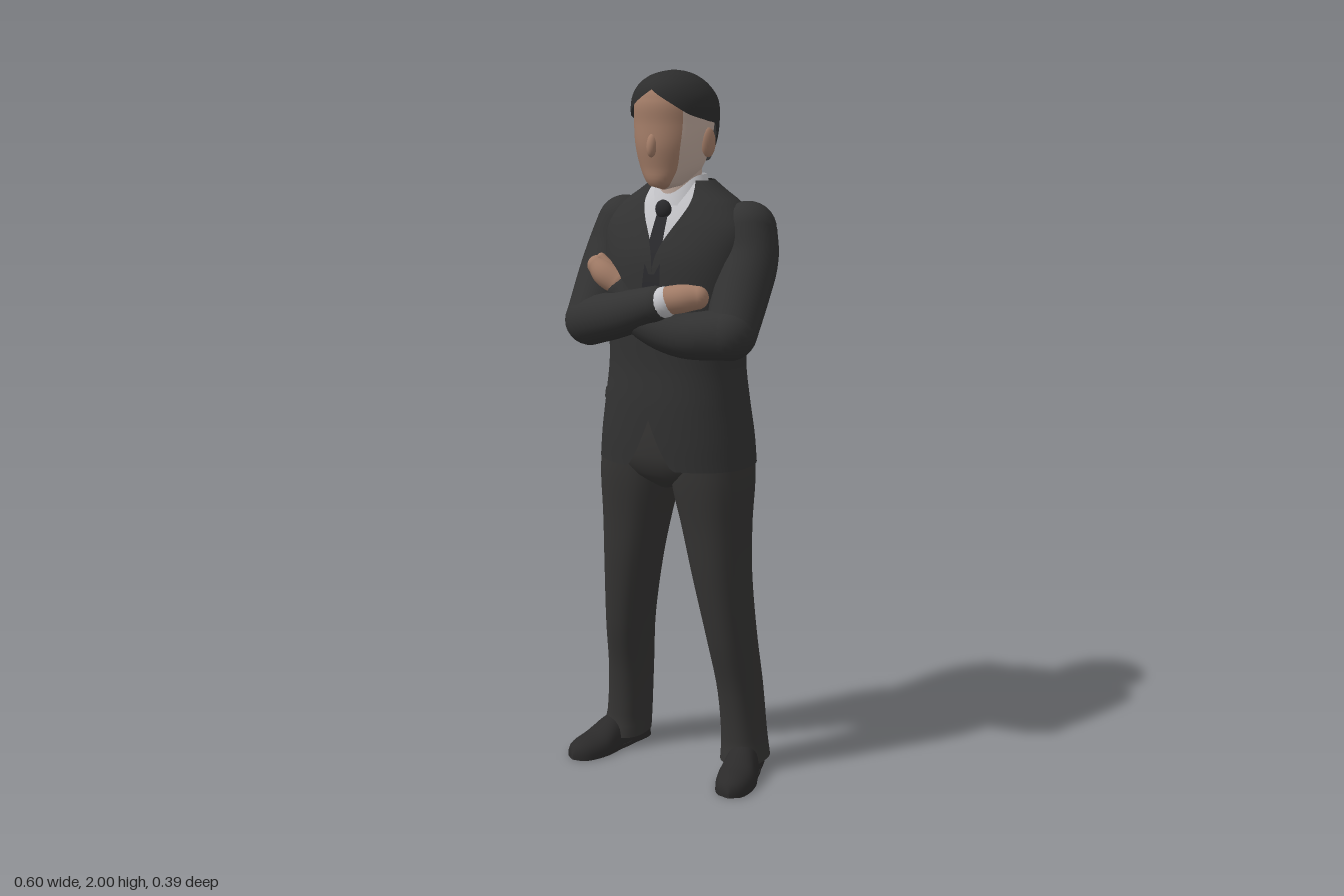
import * as THREE from 'three';
import { ParametricGeometry } from 'three/addons/geometries/ParametricGeometry.js';

const paint = (name, color, side = THREE.FrontSide) => {
  const m = new THREE.MeshStandardMaterial({ color, side });
  m.name = name;
  return m;
};

// Smooth interpolation of rows [t, a, b, ...] at t
function at(rows, t) {
  const n = rows.length;
  t = Math.min(Math.max(t, rows[0][0]), rows[n - 1][0]);
  let i = 0;
  while (i < n - 2 && t > rows[i + 1][0]) i++;
  const a = rows[i], b = rows[i + 1], p = rows[Math.max(i - 1, 0)], q = rows[Math.min(i + 2, n - 1)];
  const h = b[0] - a[0], s = (t - a[0]) / h, s2 = s * s, s3 = s2 * s;
  return a.slice(1).map((_, j) => {
    const k = j + 1;
    const ma = h * (b[k] - p[k]) / (b[0] - p[0]), mb = h * (q[k] - a[k]) / (q[0] - a[0]);
    return (2 * s3 - 3 * s2 + 1) * a[k] + (s3 - 2 * s2 + s) * ma + (3 * s2 - 2 * s3) * b[k] + (s3 - s2) * mb;
  });
}

// Point on a body with rows [y, centreX, halfWidth, frontZ, backZ]; angle 0 faces the front
function onBody(rows, angle, y, out, power = 2, grow = 1) {
  const [cx, rx, zf, zb] = at(rows, y), s = Math.sin(angle), c = Math.cos(angle);
  const r = grow / Math.pow(Math.abs(s) ** power + Math.abs(c) ** power, 1 / power);
  return out.set(cx + rx * r * s, y, (zf + zb) / 2 + (zf - zb) / 2 * r * c);
}

export function createModel() {
  const model = new THREE.Group();
  model.name = 'standingMan';
  const suit = paint('suit charcoal', 0x323232, THREE.DoubleSide);
  const trouser = paint('trouser charcoal', 0x353433, THREE.DoubleSide);
  const hairMat = paint('hair black', 0x2d2d2d, THREE.DoubleSide);
  const shoeMat = paint('shoe black', 0x2b2a2a, THREE.DoubleSide);
  const tieMat = paint('tie dark grey', 0x2a2a2d, THREE.DoubleSide);
  const shirtMat = paint('shirt white', 0xc4c4c8, THREE.DoubleSide);
  const skin = paint('skin tan', 0xa27c67);
  const paleSkin = paint('skin pale', 0xbfa99d);

  const add = (name, geometry, material, parent = model) => {
    const mesh = new THREE.Mesh(geometry, material);
    mesh.name = name;
    parent.add(mesh);
    return mesh;
  };

  const shell = (name, rows, material, o = {}) => {
    const { from = -Math.PI, to = Math.PI, low = () => rows[0][0], high = () => rows[rows.length - 1][0],
      power = 2, grow = 1, nu = 48, nv = 28, ease = (v) => v } = o;
    return add(name, new ParametricGeometry((u, v, out) => {
      const angle = from + (to - from) * u, a = low(angle);
      onBody(rows, angle, a + (high(angle) - a) * ease(v), out, power, grow);
    }, nu, nv), material);
  };

  // Rounded limb through points [x, y, z, radius]
  const limb = (name, pts, material) => {
    const group = new THREE.Group();
    group.name = name;
    const curve = new THREE.CatmullRomCurve3(pts.map((p) => new THREE.Vector3(p[0], p[1], p[2])));
    const radii = pts.map((p, i) => [i, p[3]]), steps = 24, sides = 20;
    const tube = new THREE.TubeGeometry(curve, steps, 1, sides), pos = tube.attributes.position;
    const v = new THREE.Vector3();
    for (let i = 0; i < pos.count; i++) {
      const u = Math.floor(i / (sides + 1)) / steps, c = curve.getPointAt(u);
      const r = at(radii, curve.getUtoTmapping(u) * (pts.length - 1))[0];
      v.fromBufferAttribute(pos, i).sub(c).multiplyScalar(r).add(c);
      pos.setXYZ(i, v.x, v.y, v.z);
    }
    add(name + 'Sleeve', tube, material, group);
    for (const p of [pts[0], pts[pts.length - 1]]) {
      add(name + 'End', new THREE.SphereGeometry(p[3], 20, 14), material, group).position.set(p[0], p[1], p[2]);
    }
    model.add(group);
  };

  const ball = (name, material, x, y, z, sx, sy, sz) => {
    const mesh = add(name, new THREE.SphereGeometry(1, 20, 14).scale(sx, sy, sz), material);
    mesh.position.set(x, y, z);
    return mesh;
  };

  // Trousers: hips and two splayed legs
  shell('hips', [[0.85, 0, 0.03, 0.06, -0.09], [0.89, 0, 0.15, 0.1, -0.14], [0.95, 0, 0.205, 0.118, -0.165],
    [1.1, 0, 0.19, 0.11, -0.16]], trouser, { power: 2.3 });
  for (const s of [1, -1]) {
    const side = s > 0 ? 'left' : 'right';
    const leg = [[0.035, 0.203, 0.066, 0.015, -0.148], [0.1, 0.196, 0.06, 0.004, -0.15], [0.25, 0.185, 0.058, 0.014, -0.145],
      [0.4, 0.171, 0.062, 0.046, -0.128], [0.6, 0.147, 0.077, 0.075, -0.116], [0.75, 0.13, 0.094, 0.088, -0.124],
      [0.88, 0.116, 0.112, 0.1, -0.142], [1, 0.108, 0.108, 0.1, -0.15]].map(([y, x, ...rest]) => [y, s * x, ...rest]);
    shell(side + 'Trouser', leg, trouser, { power: 2.4, nu: 32 });

    // Shoe: rows along its length [distance, half width, height], flat underneath
    const rows = [[0, 0.012, 0.06], [0.015, 0.038, 0.09], [0.09, 0.046, 0.1], [0.15, 0.05, 0.092],
      [0.21, 0.057, 0.062], [0.27, 0.046, 0.05], [0.297, 0.026, 0.036], [0.305, 0.003, 0.012]];
    const shoe = add(side + 'Shoe', new ParametricGeometry((u, v, out) => {
      const a = u * Math.PI * 2, [w, h] = at(rows, v * 0.305), k = Math.sin(a);
      out.set(w * Math.cos(a), k > 0 ? h * Math.pow(k, 0.7) : 0, v * 0.305);
    }, 32, 24), shoeMat);
    shoe.position.set(s * 0.187, 0, -0.147);
    shoe.rotation.y = s * 0.25;
    const sole = new THREE.Shape();
    sole.absellipse(0, 0, 0.05, 0.148, 0, Math.PI * 2);
    const plate = new THREE.ExtrudeGeometry(sole, { depth: 0.012, bevelEnabled: false, curveSegments: 20 });
    add(side + 'Sole', plate.rotateX(-Math.PI / 2).translate(0, 0, 0.15), shoeMat, shoe);
  }

  // Jacket with a cutaway hem and an open collar
  const torso = [[0.92, 0, 0.23, 0.14, -0.19], [1, 0, 0.222, 0.142, -0.19], [1.1, 0, 0.207, 0.14, -0.183],
    [1.2, 0, 0.196, 0.132, -0.175], [1.3, 0, 0.2, 0.13, -0.18], [1.4, 0, 0.212, 0.125, -0.19], [1.5, 0, 0.222, 0.112, -0.195],
    [1.58, 0, 0.222, 0.08, -0.178], [1.64, 0, 0.178, 0.047, -0.154], [1.68, 0, 0.122, 0.02, -0.13], [1.71, 0, 0.084, 0, -0.112]];
  const power = 2.3, vLow = 1.46, vHigh = 1.705, vAngle = 0.72;
  shell('jacket', torso, suit, {
    power, nu: 112, nv: 48,
    low: (a) => 0.92 + 0.14 * Math.pow(1 - Math.min(1, Math.abs(a) / 0.32), 1.3),
    high: (a) => vLow + (vHigh - vLow) * Math.sqrt(Math.min(1, Math.abs(a) / vAngle)),
  });
  for (const s of [1, -1]) {
    const side = s > 0 ? 'left' : 'right';
    // Lapel follows the edge of the opening
    add(side + 'Lapel', new ParametricGeometry((u, v, out) => {
      const y = vLow + 0.215 * v, edge = vAngle * ((y - vLow) / (vHigh - vLow)) ** 2;
      const width = v < 0.75 ? 0.04 + 0.42 * v : 0.355 - 0.6 * (v - 0.75);
      const across = s > 0 ? u : 1 - u;
      onBody(torso, s * (edge + width * across), y, out, power, 1.025);
    }, 8, 24), suit);
    const mid = s * 0.72;
    shell(side + 'PocketFlap', torso, suit, {
      power, grow: 1.018, from: mid - 0.26, to: mid + 0.26, low: () => 1.095, high: () => 1.125, nu: 12, nv: 3,
    });
  }

  // Shirt front, collar and tie
  shell('shirtFront', torso, shirtMat, { power, grow: 0.975, from: -1, to: 1, low: () => 1.4, high: () => 1.7 });
  shell('shirtCollar', [[1.64, 0, 0.09, 0.05, -0.118], [1.69, 0, 0.078, 0.028, -0.116], [1.72, 0, 0.069, 0.012, -0.108]],
    shirtMat, { high: (a) => 1.72 - 0.05 * Math.max(0, Math.cos(a)) ** 4 });
  add('tie', new ParametricGeometry((u, v, out) => {
    const y = 1.42 + 0.2 * v, half = 0.028 - 0.011 * v;
    onBody(torso, 0, y, out, power, 1.015);
    out.x = (u * 2 - 1) * half;
  }, 4, 12), tieMat);
  ball('tieKnot', tieMat, 0, 1.63, 0.057, 0.024, 0.026, 0.016);

  // Folded arms, right forearm in front
  for (const s of [1, -1]) {
    limb((s > 0 ? 'left' : 'right') + 'UpperArm', [[s * 0.196, 1.572, -0.065, 0.08], [s * 0.212, 1.5, -0.04, 0.082],
      [s * 0.217, 1.42, 0.01, 0.08], [s * 0.224, 1.312, 0.08, 0.071]], suit);
  }
  limb('leftForearm', [[0.224, 1.31, 0.09, 0.072], [0.09, 1.3, 0.112, 0.062], [-0.04, 1.335, 0.105, 0.052],
    [-0.115, 1.405, 0.085, 0.042]], suit);
  limb('rightForearm', [[-0.224, 1.312, 0.082, 0.071], [-0.08, 1.348, 0.118, 0.062], [0.025, 1.383, 0.143, 0.05]], suit);
  limb('rightCuff', [[0.035, 1.386, 0.145, 0.043], [0.055, 1.391, 0.145, 0.042]], shirtMat);
  limb('rightHand', [[0.07, 1.397, 0.142, 0.039], [0.11, 1.404, 0.135, 0.038], [0.14, 1.406, 0.118, 0.032]], skin);
  limb('leftHand', [[-0.13, 1.425, 0.088, 0.035], [-0.165, 1.447, 0.093, 0.036], [-0.198, 1.468, 0.083, 0.028]], skin);
  limb('leftThumb', [[-0.155, 1.465, 0.085, 0.016], [-0.185, 1.49, 0.082, 0.013]], skin);

  // Neck, head with a darker face, nose and ears
  shell('neck', [[1.62, 0, 0.068, 0.03, -0.1], [1.7, 0, 0.06, 0.028, -0.092], [1.8, 0, 0.066, 0.03, -0.1]], paleSkin);
  const cx = -0.007;
  const head = [[1.682, cx, 0.004, 0.045, 0.035], [1.69, cx, 0.036, 0.078, -0.02], [1.705, cx, 0.054, 0.093, -0.06],
    [1.74, cx, 0.078, 0.098, -0.1], [1.8, cx, 0.095, 0.108, -0.125], [1.86, cx, 0.103, 0.106, -0.137],
    [1.92, cx, 0.1, 0.104, -0.135], [1.965, cx, 0.072, 0.075, -0.1], [1.985, cx, 0.01, 0, -0.03]];
  shell('face', head, skin, { from: -1.05, to: 0.8, power: 2.1, nu: 24 });
  shell('headSides', head, paleSkin, { from: 0.8, to: Math.PI * 2 - 1.05, power: 2.1, nu: 40 });
  ball('nose', skin, cx, 1.805, 0.103, 0.015, 0.034, 0.018).rotation.x = -0.25;
  for (const s of [1, -1]) {
    ball(s > 0 ? 'leftEar' : 'rightEar', skin, cx + s * 0.102, 1.808, -0.022, 0.014, 0.04, 0.024).rotation.y = s * -0.3;
  }

  // Hair cap: high on the forehead, low behind the ears
  const hair = [[1.74, cx, 0.084, 0.09, -0.118], [1.8, cx, 0.106, 0.108, -0.148], [1.86, cx, 0.115, 0.113, -0.157],
    [1.92, cx, 0.113, 0.114, -0.151], [1.96, cx, 0.09, 0.1, -0.122], [1.985, cx, 0.058, 0.066, -0.085],
    [1.996, cx, 0.027, 0.025, -0.05], [2, cx, 0.002, -0.01, -0.014]];
  const hairline = [[0, 1.95], [0.45, 1.918], [0.9, 1.885], [1.4, 1.866], [1.75, 1.85], [2, 1.775], [2.4, 1.755], [Math.PI, 1.752]];
  shell('hair', hair, hairMat, {
    low: (a) => at(hairline, Math.abs(a))[0], nu: 72, nv: 32, ease: (v) => 1 - (1 - v) ** 2 * (1 - 0.0001),
  });
  return model;
}
